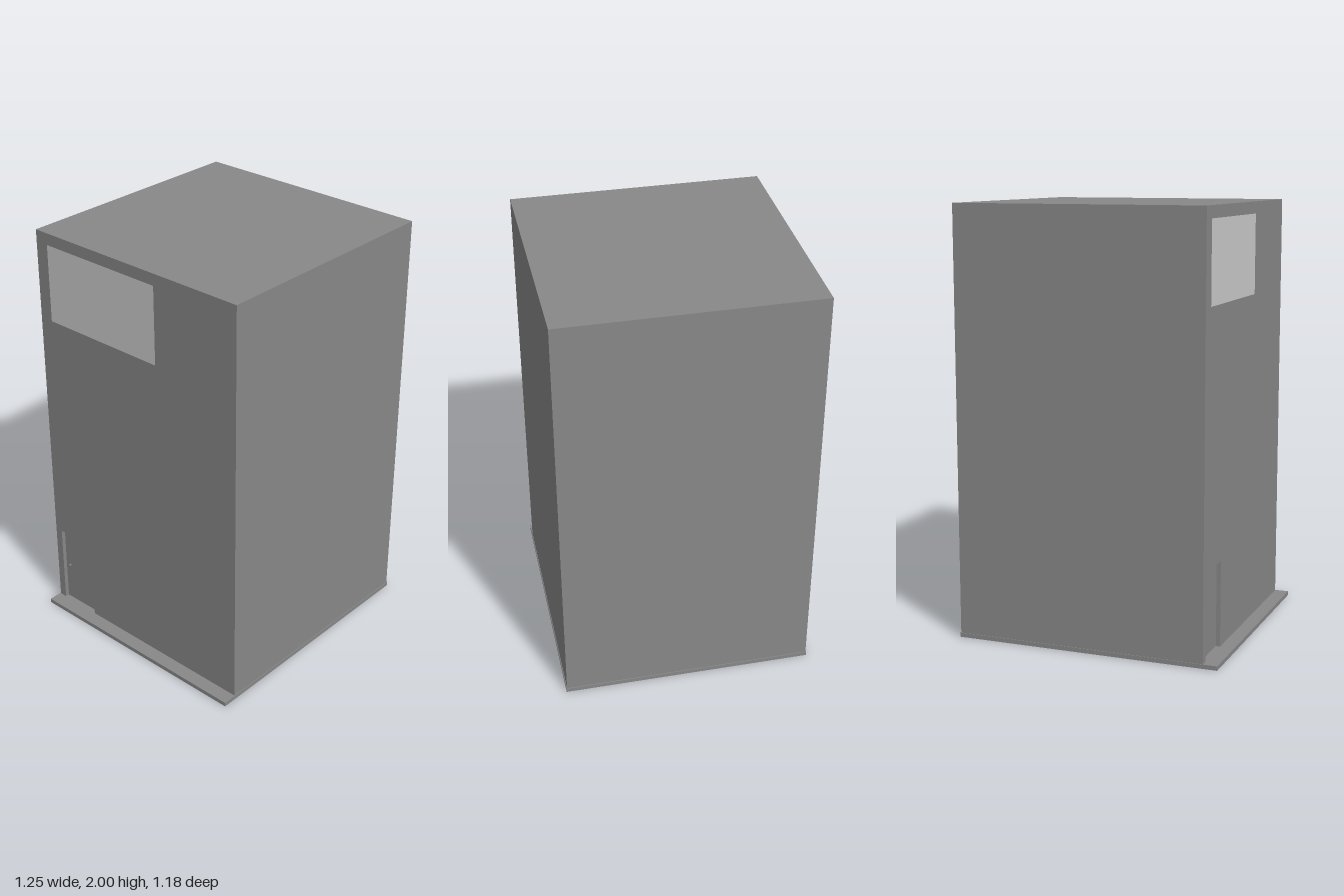
import * as THREE from 'three';

const grey = new THREE.MeshStandardMaterial({ color: 0x888888, flatShading: true });
const lightGrey = new THREE.MeshStandardMaterial({ color: 0xcccccc, side: THREE.DoubleSide });

// Box given by its minimum and maximum corners
function box(name, [x0, y0, z0], [x1, y1, z1]) {
  const mesh = new THREE.Mesh(new THREE.BoxGeometry(x1 - x0, y1 - y0, z1 - z0), grey);
  mesh.name = name;
  mesh.position.set((x0 + x1) / 2, (y0 + y1) / 2, (z0 + z1) / 2);
  return mesh;
}

export function createModel() {
  const group = new THREE.Group();
  group.name = 'building';

  const wallX = -0.56, depth = 0.03, halfZ = 0.588, floor = 0.02, roof = 2;
  const door = { z0: -0.55, z1: -0.34, top: 0.42 };

  // Ground slab, reaching out as a walkway along the entrance side
  group.add(box('baseSlab', [-0.627, 0, -0.591], [0.627, floor, 0.591]));

  // Main block behind the entrance wall
  group.add(box('mainBlock', [wallX + depth, floor, -halfZ], [0.623, roof, halfZ]));

  // Entrance wall with a notch for the recessed door (shape x = z, shape y = y)
  const outline = new THREE.Shape([
    [-halfZ, floor], [door.z0, floor], [door.z0, door.top], [door.z1, door.top],
    [door.z1, floor], [halfZ, floor], [halfZ, roof], [-halfZ, roof],
  ].map(([z, y]) => new THREE.Vector2(z, y)));
  const wallGeometry = new THREE.ExtrudeGeometry(outline, { depth, bevelEnabled: false });
  wallGeometry.rotateY(-Math.PI / 2);
  const wall = new THREE.Mesh(wallGeometry, grey);
  wall.name = 'entranceWall';
  wall.position.x = wallX + depth;
  group.add(wall);

  // Door leaf at the back of the recess, with a small knob
  group.add(box('door', [wallX + 0.02, floor, door.z0], [wallX + depth, door.top, door.z1]));
  const knob = new THREE.Mesh(new THREE.SphereGeometry(0.006, 12, 8), grey);
  knob.name = 'doorKnob';
  knob.position.set(wallX + 0.015, 0.22, door.z0 + 0.03);
  group.add(knob);

  // Light panel lying flat, high on the entrance wall
  const panel = new THREE.Mesh(new THREE.PlaneGeometry(0.65, 0.37), lightGrey);
  panel.name = 'wallPanel';
  panel.rotation.y = -Math.PI / 2;
  panel.position.set(wallX - 0.001, 1.76, -0.195);
  group.add(panel);

  return group;
}
